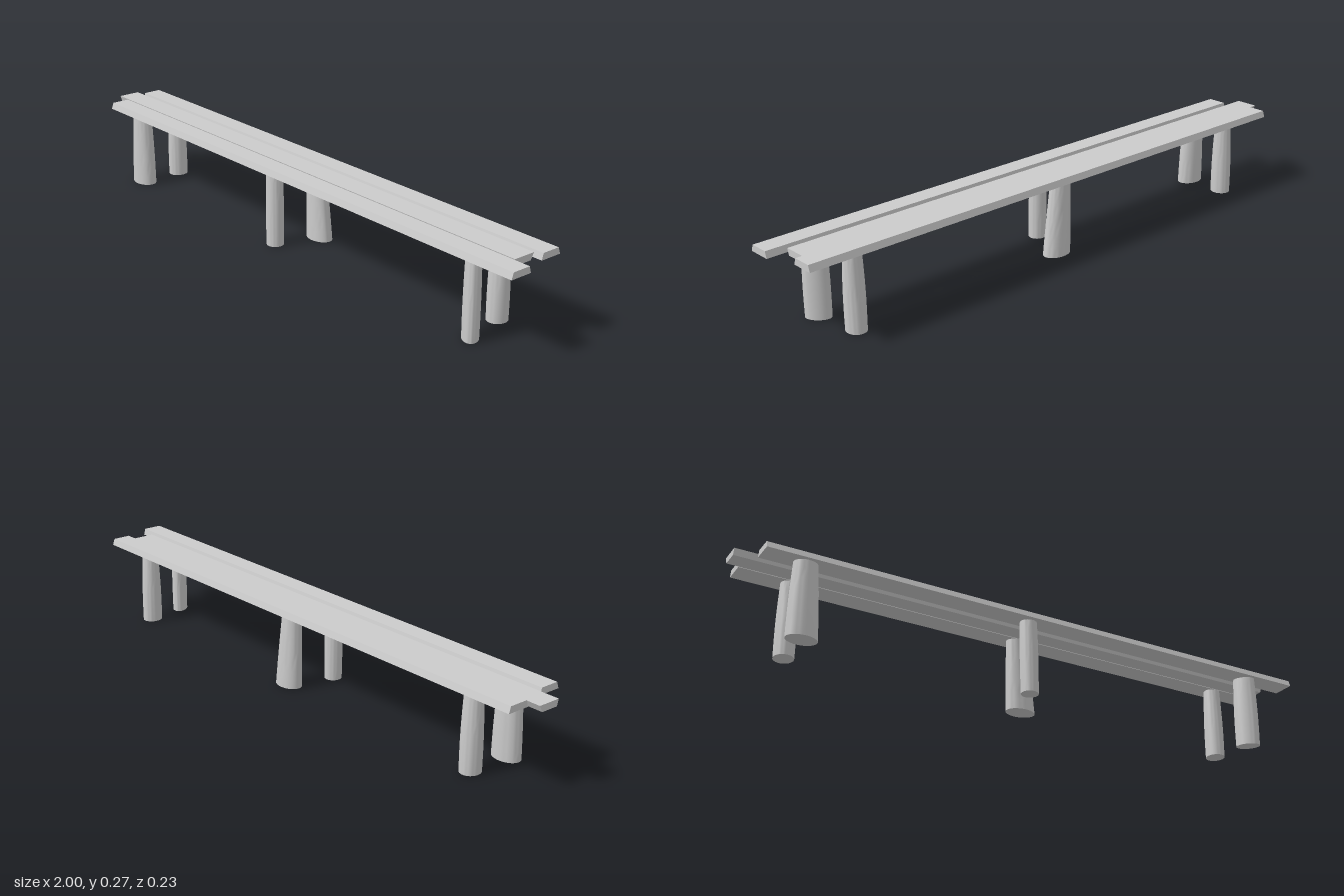
import * as THREE from 'three';
import { toCreasedNormals } from 'three/addons/utils/BufferGeometryUtils.js';

const material = new THREE.MeshStandardMaterial({ color: 0xcccccc });

// Plank with a trapezoid section, running along x from x0 to x1.
function plank(name, x0, x1, yBottom, yTop, zBottom, zTop) {
  const g = new THREE.BoxGeometry(1, 1, 1);
  const p = g.attributes.position;
  for (let i = 0; i < p.count; i++) {
    const top = p.getY(i) > 0;
    const z = top ? zTop : zBottom;
    p.setXYZ(i, p.getX(i) > 0 ? x1 : x0, top ? yTop : yBottom, p.getZ(i) > 0 ? z[1] : z[0]);
  }
  g.computeVertexNormals();
  const mesh = new THREE.Mesh(g, material);
  mesh.name = name;
  return mesh;
}

// Oval stone-like leg: base and top are { x, z, w, d }, with a slight swelling
// halfway up; turn rotates the oval about the vertical axis.
const LEG_HEIGHT = 0.248;
function leg(name, base, top, bulge = 0.04, turn = 0) {
  const g = new THREE.CylinderGeometry(0.5, 0.5, 1, 32, 8);
  const p = g.attributes.position;
  const c = Math.cos(turn), s = Math.sin(turn);
  for (let i = 0; i < p.count; i++) {
    const t = p.getY(i) + 0.5;
    const mix = (key) => THREE.MathUtils.lerp(base[key], top[key], t);
    const swell = 1 + bulge * Math.sin(Math.PI * t);
    const u = p.getX(i) * mix('w') * swell;
    const v = p.getZ(i) * mix('d') * swell;
    p.setXYZ(i, mix('x') + u * c - v * s, t * LEG_HEIGHT, mix('z') + u * s + v * c);
  }
  const mesh = new THREE.Mesh(toCreasedNormals(g, 0.7), material);
  mesh.name = name;
  return mesh;
}

export function createModel() {
  const bench = new THREE.Group();
  bench.name = 'bench';

  // Seat: three staggered planks, the middle one upside down and a little lower
  const seat = new THREE.Group();
  seat.name = 'seat';
  seat.add(
    plank('frontPlank', -0.93, 1, 0.247, 0.268, [0.042, 0.117], [0.048, 0.11]),
    plank('middlePlank', -1, 0.937, 0.242, 0.263, [-0.029, 0.029], [-0.04, 0.035]),
    plank('backPlank', -0.96, 0.965, 0.247, 0.268, [-0.115, -0.041], [-0.108, -0.047])
  );

  // Six uneven legs in three pairs
  const legs = new THREE.Group();
  legs.name = 'legs';
  legs.add(
    leg('frontRightLeg',
      { x: -0.792, z: 0.077, w: 0.098, d: 0.071 },
      { x: -0.795, z: 0.075, w: 0.076, d: 0.059 }),
    leg('backRightLeg',
      { x: -0.79, z: -0.068, w: 0.063, d: 0.068 },
      { x: -0.79, z: -0.067, w: 0.056, d: 0.053 }, 0.08),
    leg('frontMiddleLeg',
      { x: -0.036, z: 0.077, w: 0.056, d: 0.056 },
      { x: -0.04, z: 0.075, w: 0.056, d: 0.052 }, 0.06),
    leg('backMiddleLeg',
      { x: 0.013, z: -0.068, w: 0.1, d: 0.07 },
      { x: -0.003, z: -0.067, w: 0.07, d: 0.054 }, 0.02),
    leg('frontLeftLeg',
      { x: 0.826, z: 0.074, w: 0.08, d: 0.05 },
      { x: 0.826, z: 0.075, w: 0.072, d: 0.046 }, 0.06, Math.PI / 4),
    leg('backLeftLeg',
      { x: 0.795, z: -0.068, w: 0.062, d: 0.068 },
      { x: 0.795, z: -0.067, w: 0.056, d: 0.053 }, 0.08)
  );

  bench.add(seat, legs);
  return bench;
}
